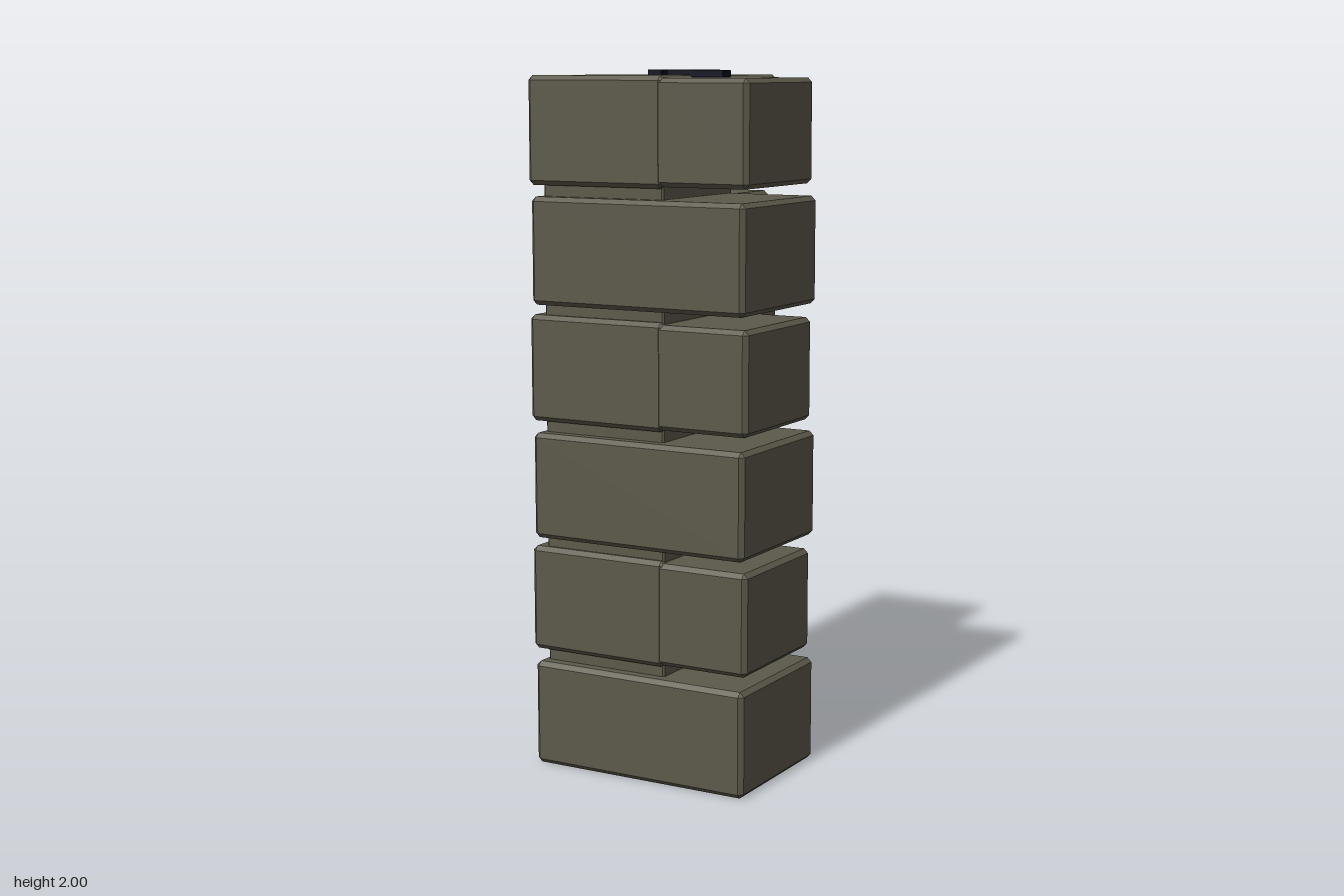
import * as THREE from 'three';
import { ConvexGeometry } from 'three/addons/geometries/ConvexGeometry.js';

// Box between two corners with every edge cut by a flat chamfer c
function chamferBox([x0, y0, z0], [x1, y1, z1], c) {
  const pts = [];
  for (const sx of [0, 1]) for (const sy of [0, 1]) for (const sz of [0, 1]) {
    const p = [sx ? x1 : x0, sy ? y1 : y0, sz ? z1 : z0];
    const inward = [sx ? -c : c, sy ? -c : c, sz ? -c : c];
    for (let keep = 0; keep < 3; keep++) {
      pts.push(new THREE.Vector3(...p.map((v, i) => (i === keep ? v : v + inward[i]))));
    }
  }
  return new ConvexGeometry(pts);
}

export function createModel() {
  const model = new THREE.Group();
  const stone = new THREE.MeshStandardMaterial({ color: 0x5c594a });
  stone.name = 'olive stone';
  const dark = new THREE.MeshStandardMaterial({ color: 0x0a0a1e });
  dark.name = 'dark navy';

  const add = (parent, name, min, max, c, material) => {
    const mesh = new THREE.Mesh(chamferBox(min, max, c), material);
    mesh.name = name;
    parent.add(mesh);
  };

  // Recessed square core visible in the gaps between courses
  add(model, 'core', [-0.31, 0.05, -0.08], [0.08, 1.93, 0.31], 0.005, stone);

  // Six L-shaped courses; the long and short blocks swap arms each time
  for (let i = 0; i < 6; i++) {
    const course = new THREE.Group();
    course.name = `course${i + 1}`;
    const y = i * 0.336, top = y + 0.305;
    if (i % 2) {
      add(course, 'longBlock', [-0.352, y, -0.352], [0.088, top, 0.33], 0.013, stone);
      add(course, 'shortBlock', [0.06, y + 0.005, -0.064], [0.35, top - 0.006, 0.329], 0.013, stone);
    } else {
      add(course, 'longBlock', [-0.33, y, -0.088], [0.352, top, 0.352], 0.013, stone);
      add(course, 'shortBlock', [-0.329, y + 0.005, -0.35], [0.064, top - 0.006, -0.06], 0.013, stone);
    }
    model.add(course);
  }

  // Two dark bars lying on the top, one along each arm
  add(model, 'backBar', [-0.155, 1.978, -0.181], [-0.108, 2, -0.002], 0.002, dark);
  add(model, 'sideBar', [0, 1.978, 0.106], [0.179, 2, 0.152], 0.002, dark);
  return model;
}
